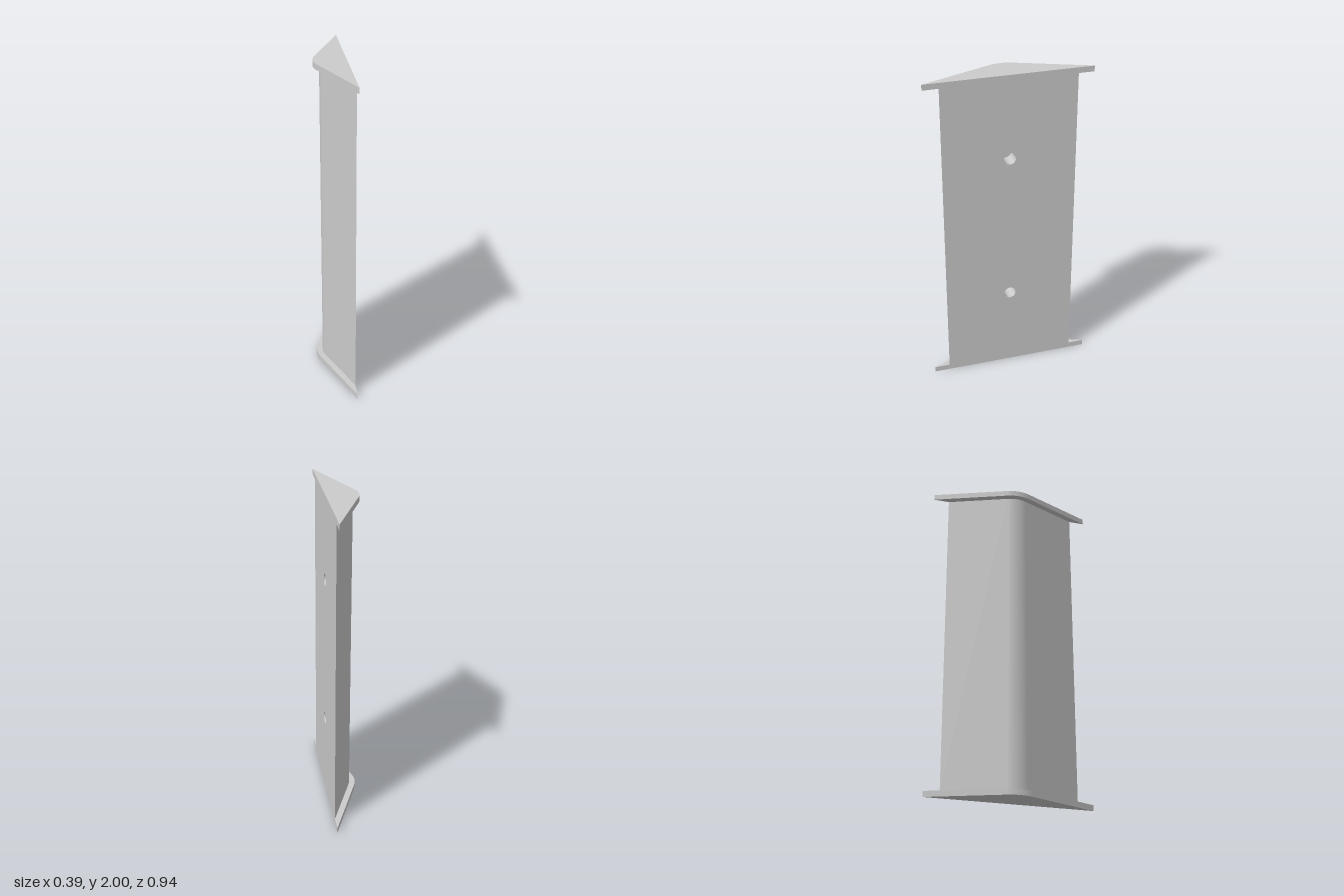
import * as THREE from 'three';

const TIP = 0.195;      // half extent of the end plates along x
const INSET = 0.037;    // how far the body sits inside the plates
const ROUND = 0.19;     // plate corner radius
const PLATE = 0.035;    // plate thickness
const HEIGHT = 2;
const SLOPE = Math.tan(Math.PI * 3 / 8);
const HOLE_R = 0.0375, HOLE_DEPTH = 0.1, HOLE_Y = 0.475;

// Triangular section with one rounded corner, as (x, z) from back tip to front tip
function profile(inset) {
  const tip = TIP - inset, r = ROUND - inset;
  const cx = -tip + r, cz = (tip - r) / SLOPE;
  const pts = [new THREE.Vector2(-tip, -tip * SLOPE)];
  for (let i = 0; i <= 16; i++) {
    const t = (Math.PI / 4) * (i / 16);
    pts.push(new THREE.Vector2(cx - r * Math.cos(t), cz + r * Math.sin(t)));
  }
  pts.push(new THREE.Vector2(tip, tip * SLOPE));
  return pts;
}

export function createModel() {
  const model = new THREE.Group();
  const material = new THREE.MeshStandardMaterial({ color: 0xcccccc });
  const inside = new THREE.MeshStandardMaterial({ color: 0xcccccc, side: THREE.BackSide });
  const add = (parent, name, geometry, mat = material) => {
    const mesh = new THREE.Mesh(geometry, mat);
    mesh.name = name;
    parent.add(mesh);
    return mesh;
  };

  // End plates
  const plateShape = new THREE.Shape(profile(0).map(p => new THREE.Vector2(p.x, -p.y)));
  const plate = new THREE.ExtrudeGeometry(plateShape, { depth: PLATE, bevelEnabled: false });
  plate.rotateX(-Math.PI / 2);
  add(model, 'bottomPlate', plate);
  add(model, 'topPlate', plate).position.y = HEIGHT - PLATE;

  // Body wall wrapped round the two outer sides and the rounded corner
  const pts = profile(INSET);
  const bodyHeight = HEIGHT - 2 * PLATE;
  const wall = new THREE.PlaneGeometry(1, bodyHeight, pts.length - 1, 1);
  const pos = wall.attributes.position;
  for (let i = 0; i < pos.count; i++) {
    const p = pts[i % pts.length];
    pos.setXYZ(i, p.x, pos.getY(i), p.y);
  }
  wall.computeVertexNormals();
  add(model, 'bodyWall', wall).position.y = HEIGHT / 2;

  // Slanted face, flush with the plates, with two blind holes
  const face = new THREE.Group();
  face.name = 'slantedFace';
  face.position.y = HEIGHT / 2;
  face.rotation.y = Math.PI * 5 / 8;
  model.add(face);

  const w = (TIP - INSET) / Math.sin(Math.PI / 8), h = bodyHeight / 2;
  const panel = new THREE.Shape([
    new THREE.Vector2(-w, -h), new THREE.Vector2(w, -h),
    new THREE.Vector2(w, h), new THREE.Vector2(-w, h),
  ]);
  const tube = new THREE.CylinderGeometry(HOLE_R, HOLE_R, HOLE_DEPTH, 32, 1, true).rotateX(Math.PI / 2);
  const floor = new THREE.CircleGeometry(HOLE_R, 32);
  for (const y of [-HOLE_Y, HOLE_Y]) {
    panel.holes.push(new THREE.Path().absarc(0, y, HOLE_R, 0, Math.PI * 2, true));
    add(face, 'holeWall', tube, inside).position.set(0, y, -HOLE_DEPTH / 2);
    add(face, 'holeFloor', floor).position.set(0, y, -HOLE_DEPTH);
  }
  add(face, 'facePanel', new THREE.ShapeGeometry(panel, 16));

  return model;
}
